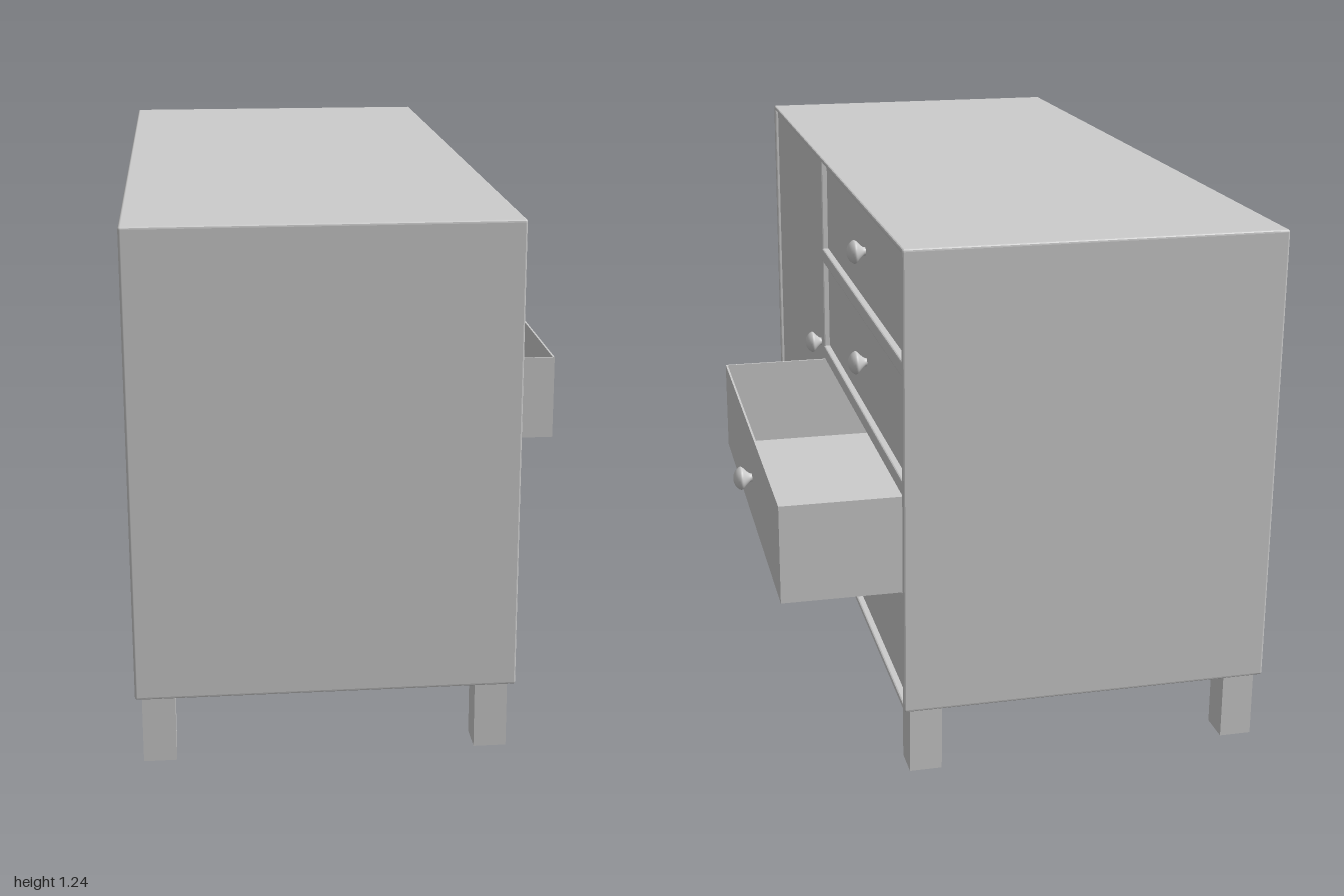
import * as THREE from 'three';
import { RoundedBoxGeometry } from 'three/addons/geometries/RoundedBoxGeometry.js';

const BOTTOM = 0.16, TOP = 1.235, BACK = -0.59, FRONT = 0.274;
const material = new THREE.MeshStandardMaterial({ color: 0xcccccc });

// openings on the +x face, as z and y ranges
const doorBay = { z: [0.112, 0.984], y: [0.172, 1.224] };
const drawerZ = [-0.983, 0.075];
const drawers = [
  { y: [0.987, 1.224], knobY: 1.11, pull: 0 },
  { y: [0.714, 0.952], knobY: 0.835, pull: 0 },
  { y: [0.448, 0.68], knobY: 0.56, pull: 0.287 },
  { y: [0.173, 0.411], knobY: 0.315, pull: 0 },
];

function add(parent, name, geometry, x = 0, y = 0, z = 0) {
  const mesh = new THREE.Mesh(geometry, material);
  mesh.name = name;
  mesh.position.set(x, y, z);
  parent.add(mesh);
  return mesh;
}

// box given by its x, y and z ranges
function addBox(parent, name, [x0, x1], [y0, y1], [z0, z1]) {
  return add(parent, name, new THREE.BoxGeometry(x1 - x0, y1 - y0, z1 - z0),
    (x0 + x1) / 2, (y0 + y1) / 2, (z0 + z1) / 2);
}

function rectPath(path, [z0, z1], [y0, y1]) {
  path.moveTo(-z1, y0);
  path.lineTo(-z0, y0);
  path.lineTo(-z0, y1);
  path.lineTo(-z1, y1);
  path.closePath();
  return path;
}

// carcass frame: extruded along x with a hole for each opening
function frameGeometry() {
  const r = 0.006, bevel = 0.004, x0 = BACK + 0.02;
  const s = new THREE.Shape();
  s.moveTo(-1 + r, BOTTOM);
  s.lineTo(1 - r, BOTTOM);
  s.quadraticCurveTo(1, BOTTOM, 1, BOTTOM + r);
  s.lineTo(1, TOP - r);
  s.quadraticCurveTo(1, TOP, 1 - r, TOP);
  s.lineTo(-1 + r, TOP);
  s.quadraticCurveTo(-1, TOP, -1, TOP - r);
  s.lineTo(-1, BOTTOM + r);
  s.quadraticCurveTo(-1, BOTTOM, -1 + r, BOTTOM);
  s.holes.push(rectPath(new THREE.Path(), doorBay.z, doorBay.y));
  for (const d of drawers) s.holes.push(rectPath(new THREE.Path(), drawerZ, d.y));
  return new THREE.ExtrudeGeometry(s, {
    depth: FRONT - x0 - 2 * bevel, curveSegments: 3, bevelEnabled: true,
    bevelThickness: bevel, bevelSize: bevel, bevelOffset: -bevel, bevelSegments: 2,
  }).rotateY(Math.PI / 2).translate(x0 + bevel, 0, 0);
}

// turned knob, its shank passing through the panel
const knobGeometry = new THREE.LatheGeometry(new THREE.SplineCurve([
  [0.009, -0.018], [0.01, 0], [0.012, 0.007], [0.02, 0.016], [0.027, 0.023],
  [0.028, 0.029], [0.021, 0.038], [0.01, 0.044], [0, 0.045],
].map(([x, y]) => new THREE.Vector2(x, y))).getPoints(24), 24).rotateZ(-Math.PI / 2);

// open-topped drawer with thin walls
function makeDrawer({ y, knobY, pull }) {
  const g = new THREE.Group();
  g.name = 'drawer';
  const t = 0.005, x0 = -0.48, x1 = 0.258;
  const [z0, z1] = [drawerZ[0] + 0.002, drawerZ[1] - 0.002];
  const [y0, y1] = [y[0] + 0.002, y[1] - 0.002];
  addBox(g, 'drawerFront', [x1 - t, x1], [y0, y1], [z0, z1]);
  addBox(g, 'drawerBack', [x0, x0 + t], [y0, y1], [z0, z1]);
  addBox(g, 'drawerSide', [x0 + t, x1 - t], [y0, y1], [z0, z0 + t]);
  addBox(g, 'drawerSide', [x0 + t, x1 - t], [y0, y1], [z1 - t, z1]);
  addBox(g, 'drawerFloor', [x0 + t, x1 - t], [y0, y0 + t], [z0 + t, z1 - t]);
  add(g, 'drawerKnob', knobGeometry, x1, knobY, -0.485);
  g.position.x = pull;
  return g;
}

export function createModel() {
  const model = new THREE.Group();
  model.name = 'sideboard';

  add(model, 'cabinetFrame', frameGeometry());
  add(model, 'backPanel', new RoundedBoxGeometry(0.06, TOP - BOTTOM, 2, 2, 0.006),
    BACK + 0.03, (TOP + BOTTOM) / 2, 0);

  // door with its knob
  addBox(model, 'door', [0.235, 0.264], doorBay.y, doorBay.z);
  add(model, 'doorKnob', knobGeometry, 0.263, 0.695, 0.185);

  for (const d of drawers) model.add(makeDrawer(d));

  // square legs near the corners
  for (const x of [-0.5375, 0.2205])
    for (const side of [-1, 1])
      add(model, 'leg', new THREE.BoxGeometry(0.075, BOTTOM + 0.004, 0.076),
        x, (BOTTOM + 0.004) / 2, side * 0.945);

  return model;
}
